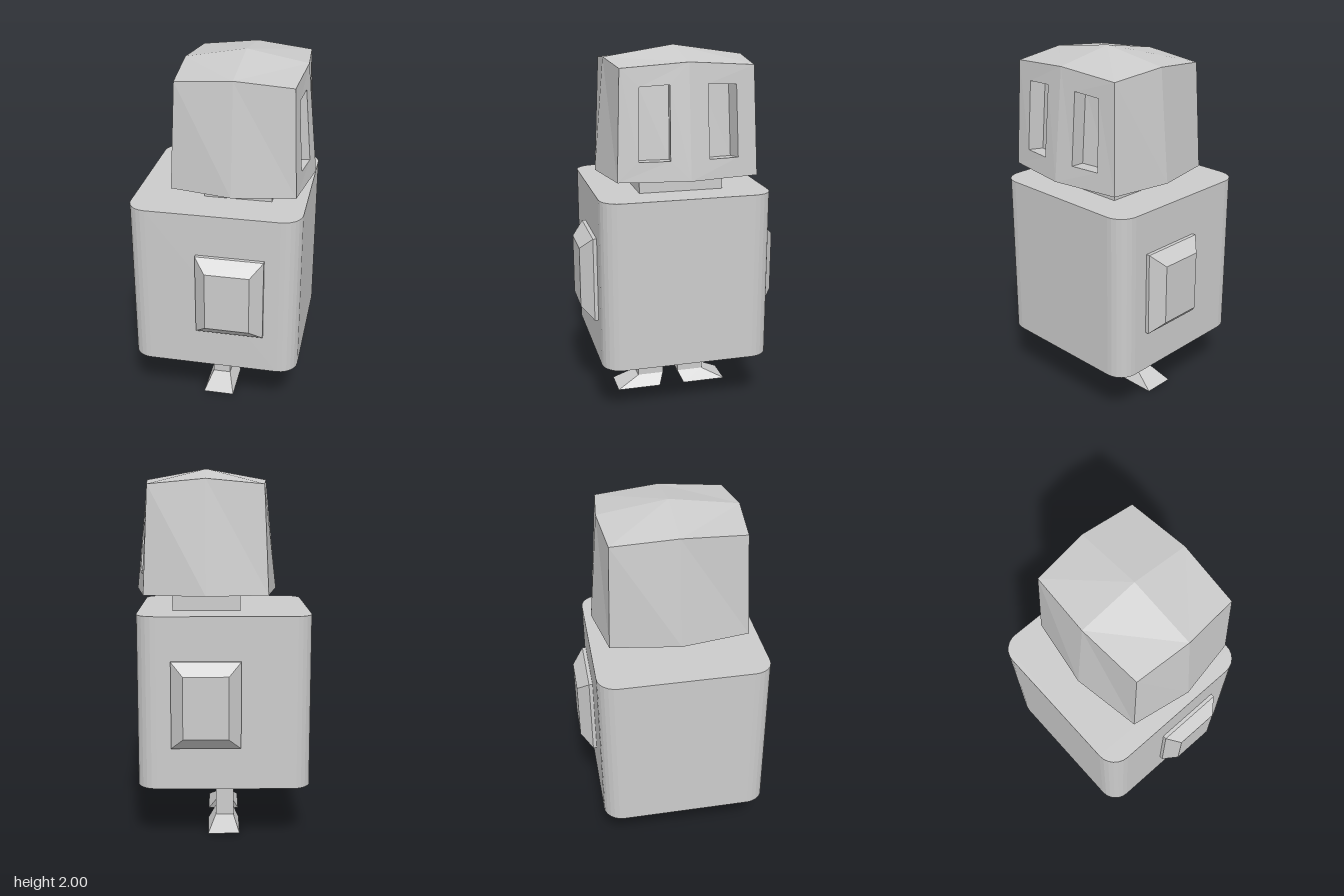
import * as THREE from 'three';

const V = (x, y, z) => new THREE.Vector3(x, y, z);
const material = new THREE.MeshStandardMaterial({ color: 0xcccccc, flatShading: true });

function part(name, geometry) {
  const mesh = new THREE.Mesh(geometry, material);
  mesh.name = name;
  return mesh;
}

// Flat faces (corners counter-clockwise from outside), each fanned into triangles
function fromFaces(faces) {
  const points = [];
  for (const f of faces)
    for (let i = 1; i < f.length - 1; i++) points.push(f[0], f[i], f[i + 1]);
  const g = new THREE.BufferGeometry().setFromPoints(points);
  g.computeVertexNormals();
  return g;
}

// Rectangle at height y, counter-clockwise from above
function rect(x0, x1, za, zb, y) {
  const z0 = Math.min(za, zb), z1 = Math.max(za, zb);
  return [V(x0, y, z1), V(x1, y, z1), V(x1, y, z0), V(x0, y, z0)];
}

// Closed solid through rings stacked from bottom to top
function loft(rings) {
  const faces = [[...rings[0]].reverse(), rings[rings.length - 1]];
  for (let r = 0; r < rings.length - 1; r++) {
    const a = rings[r], b = rings[r + 1], n = a.length;
    for (let i = 0; i < n; i++) {
      const j = (i + 1) % n;
      faces.push([a[i], a[j], b[j], b[i]]);
    }
  }
  return fromFaces(faces);
}

// Block with rounded vertical edges
function bodyGeometry() {
  const x0 = -0.475, x1 = 0.455, d = 0.465, r = 0.105;
  const s = new THREE.Shape();
  s.moveTo(x0 + r, -d);
  s.lineTo(x1 - r, -d);
  s.absarc(x1 - r, -d + r, r, -Math.PI / 2, 0);
  s.absarc(x1 - r, d - r, r, 0, Math.PI / 2);
  s.absarc(x0 + r, d - r, r, Math.PI / 2, Math.PI);
  s.absarc(x0 + r, -d + r, r, Math.PI, Math.PI * 1.5);
  const g = new THREE.ExtrudeGeometry(s, { depth: 0.93, bevelEnabled: false, curveSegments: 3 });
  return g.rotateX(-Math.PI / 2).translate(0, 0.31, 0);
}

// Tapered head with bowed sides, a low peak and two recessed eye slots on the +x side
function headGeometry() {
  const cx = 0.085, yb = 1.34, faces = [];
  const apex = V(cx, 2, 0);
  for (const s of [1, -1]) {
    const add = (...f) => faces.push(s > 0 ? f : f.reverse());
    const bottom = [V(0.475, yb, 0), V(0.415, yb, s * 0.375), V(cx, yb, s * 0.435),
      V(-0.245, yb, s * 0.375), V(-0.305, yb, 0)];
    const top = [V(0.415, 1.94, 0), V(0.39, 1.915, s * 0.353), V(cx, 1.943, s * 0.38),
      V(-0.22, 1.915, s * 0.353), V(-0.245, 1.94, 0)];

    // Plain walls, roof and underside
    for (let i = 1; i < 4; i++) add(bottom[i], top[i], top[i + 1], bottom[i + 1]);
    add(top[0], apex, top[2], top[1]);
    add(top[4], top[3], top[2], apex);
    add(...bottom);

    // Eye wall: frame, recess sides and recess back
    const at = (u, v) => bottom[0].clone().lerp(bottom[1], u)
      .lerp(top[0].clone().lerp(top[1], u), v);
    const inward = V(-0.98, -0.1, -s * 0.16).setLength(0.09);
    const outer = [at(0, 0), at(0, 1), at(1, 1), at(1, 0)];
    const hole = [at(0.28, 0.178), at(0.28, 0.826), at(0.715, 0.826), at(0.715, 0.178)];
    const back = hole.map(p => p.clone().add(inward));
    for (let i = 0; i < 4; i++) {
      const j = (i + 1) % 4;
      add(outer[i], outer[j], hole[j], hole[i]);
      add(hole[i], hole[j], back[j], back[i]);
    }
    add(...back);
  }
  return fromFaces(faces);
}

export function createModel() {
  const model = new THREE.Group();
  model.name = 'blockyFigure';

  model.add(part('body', bodyGeometry()));
  model.add(part('neck', loft([rect(-0.1, 0.27, -0.23, 0.23, 1.23), rect(-0.1, 0.27, -0.23, 0.23, 1.35)])));
  model.add(part('head', headGeometry()));

  for (const s of [1, -1]) {
    // Bevelled plate on the +z and -z faces of the body
    const plate = part(s > 0 ? 'frontPlate' : 'backPlate', loft([
      rect(-0.1, 0.27, -0.233, 0.233, 0.45),
      rect(-0.1, 0.27, -0.233, 0.233, 0.485),
      rect(-0.035, 0.205, -0.167, 0.167, 0.55),
    ]));
    plate.rotation.x = s * Math.PI / 2;
    plate.position.y = 0.772;
    model.add(plate);

    // Leg with a splayed foot
    model.add(part(s > 0 ? 'frontLeg' : 'backLeg', loft([
      rect(-0.097, 0.077, s * 0.073, s * 0.323, 0),
      rect(-0.065, 0.035, s * 0.045, s * 0.195, 0.063),
      rect(-0.065, 0.035, s * 0.045, s * 0.195, 0.32),
    ])));
  }
  return model;
}
